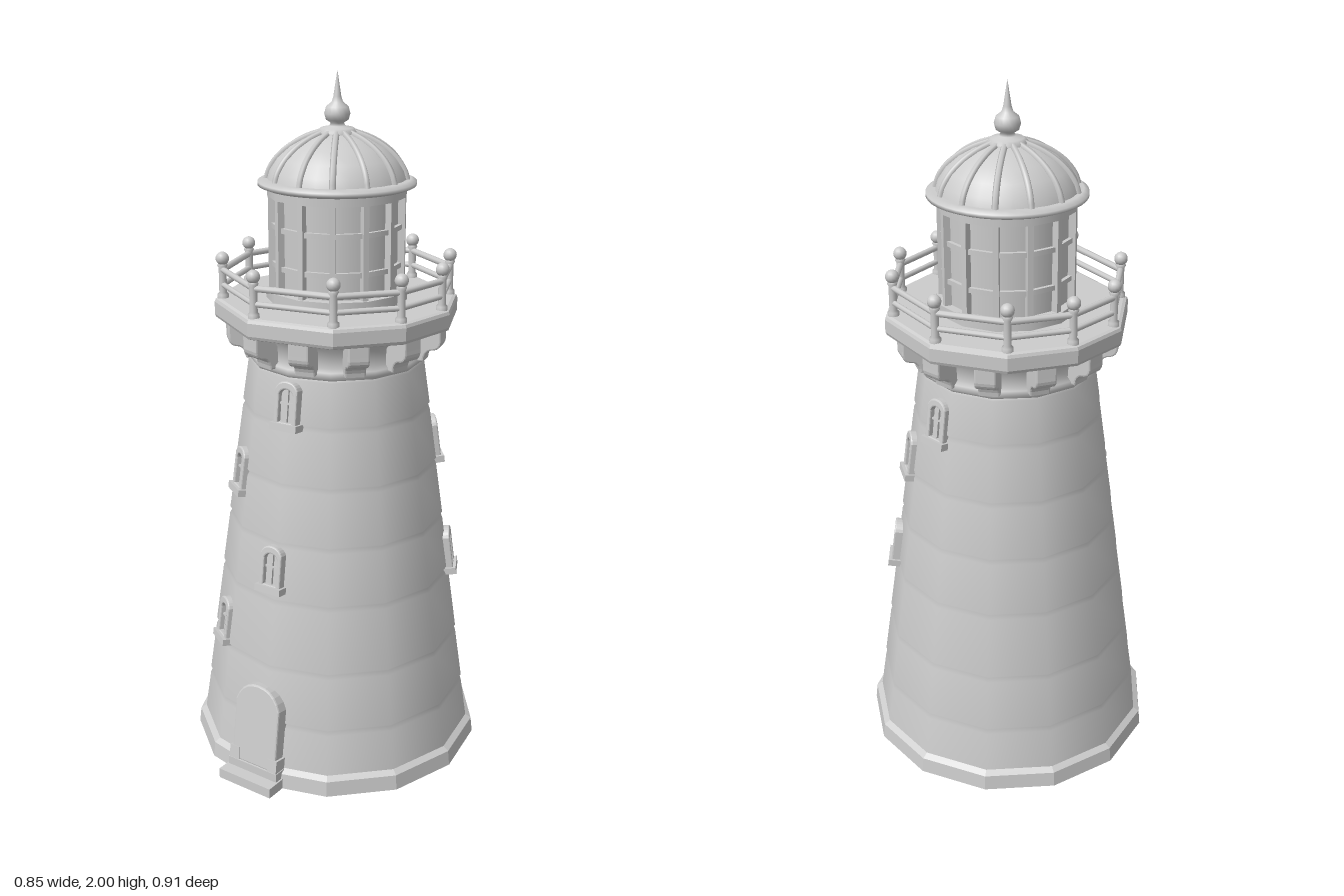
import * as THREE from 'three';

const SIDES = 13;
const RAD = Math.PI / 180;
const START = 184 * RAD;                       // direction of the first wall corner
const LEAN = Math.atan(0.155 / 1.15);          // inward slope of the wall
const wallRadius = (y) => 0.405 - 0.155 * (y - 0.06) / 1.15;

// distance from the axis to the faceted wall in a given direction
function wallDistance(azimuth, y) {
  const step = 2 * Math.PI / SIDES;
  const t = (((azimuth - START) % step) + step) % step;
  return wallRadius(y) * Math.cos(step / 2) / Math.cos(t - step / 2);
}

export function createModel() {
  const stone = new THREE.MeshStandardMaterial({ color: 0xcccccc });
  const model = new THREE.Group();
  model.name = 'lighthouse';
  const tower = new THREE.Group();
  tower.name = 'tower';
  tower.position.z = -0.025;
  model.add(tower);

  const add = (parent, name, geometry, x = 0, y = 0, z = 0) => {
    const mesh = new THREE.Mesh(geometry, stone);
    mesh.name = name;
    mesh.position.set(x, y, z);
    parent.add(mesh);
    return mesh;
  };
  const lathe = (pts, n, start = START) =>
    new THREE.LatheGeometry(pts.map(([r, y]) => new THREE.Vector2(r, y)), n, start);
  const box = (w, h, d) => new THREE.BoxGeometry(w, h, d);
  // a group turned towards an azimuth measured from the front
  const turned = (name, azimuth) => {
    const g = new THREE.Group();
    g.name = name;
    g.rotation.y = azimuth;
    tower.add(g);
    return g;
  };
  // a straight round bar between two points
  const bar = (name, a, b, r) => {
    const mesh = add(tower, name, new THREE.CylinderGeometry(r, r, a.distanceTo(b), 8));
    mesh.position.copy(a).lerp(b, 0.5);
    mesh.quaternion.setFromUnitVectors(new THREE.Vector3(0, 1, 0), b.clone().sub(a).normalize());
  };

  // faceted plinth with a sloped top
  const flat = (g) => { const f = g.toNonIndexed(); f.computeVertexNormals(); return f; };
  add(tower, 'plinth', flat(new THREE.CylinderGeometry(0.426, 0.431, 0.045, SIDES, 1, false, START)), 0, 0.0225);
  add(tower, 'plinthBevel', flat(new THREE.CylinderGeometry(0.403, 0.426, 0.015, SIDES, 1, true, START)), 0, 0.0525);

  // tapered wall with slightly stepped stone courses
  const courses = [0.05, 0.19, 0.36, 0.56, 0.73, 0.9, 1.07, 1.21];
  const wall = [];
  for (let i = 0; i < courses.length - 1; i++) {
    wall.push([wallRadius(courses[i]) + 0.003, courses[i] + 0.004]);
    wall.push([wallRadius(courses[i + 1] - 0.015) + 0.002, courses[i + 1] - 0.015]);
    wall.push([wallRadius(courses[i + 1]) - 0.003, courses[i + 1] - 0.003]);
  }
  add(tower, 'wall', lathe(wall, SIDES));
  add(tower, 'neck', lathe([[0.25, 1.2], [0.258, 1.21], [0.258, 1.225], [0.247, 1.235], [0.25, 1.28], [0.285, 1.32]], SIDES));

  // arched outline, used for frames, openings and door leaves
  const arch = (Type, half, bottom, spring, top) => {
    const s = new Type();
    s.moveTo(-half, bottom);
    s.lineTo(half, bottom);
    s.lineTo(half, spring);
    s.quadraticCurveTo(half * 0.75, top, 0, top);
    s.quadraticCurveTo(-half * 0.75, top, -half, spring);
    return s;
  };
  const extrude = (shape, depth, bevel = 0) => new THREE.ExtrudeGeometry(shape, {
    depth, curveSegments: 5, bevelEnabled: bevel > 0, bevelSize: bevel, bevelThickness: bevel, bevelOffset: -bevel, bevelSegments: 2,
  });

  // windows: azimuth in degrees and height of the centre
  const windows = [[19, 1.125], [-18, 0.89], [16, 0.653], [-17, 0.425], [145, 0.94], [132, 0.61], [175, 1.1]];
  for (const [deg, y] of windows) {
    const a = deg * RAD;
    const g = turned('window', a);
    const w = new THREE.Group();
    w.position.set(0, y, wallDistance(a, y));
    w.rotation.x = -LEAN;
    g.add(w);
    const frame = arch(THREE.Shape, 0.036, -0.058, 0.045, 0.068);
    frame.holes.push(arch(THREE.Path, 0.022, -0.048, 0.03, 0.046));
    add(w, 'windowFrame', extrude(frame, 0.034, 0.004), 0, 0, -0.016);
    add(w, 'windowPane', box(0.05, 0.1, 0.008), 0, 0, 0.002);
    add(w, 'windowMullion', box(0.006, 0.095, 0.01), 0, 0, 0.008);
    add(w, 'windowCrossbar', box(0.046, 0.006, 0.01), 0, 0.005, 0.008);
    add(w, 'windowSill', box(0.086, 0.02, 0.05), 0, -0.06, 0.005);
  }

  // door with stone surround and steps
  const doorAzimuth = 14.5 * RAD;
  const entrance = turned('entrance', doorAzimuth);
  add(entrance, 'lowerStep', box(0.185, 0.03, 0.15), 0, 0.015, 0.395);
  add(entrance, 'upperStep', box(0.175, 0.03, 0.12), 0, 0.04, 0.372);
  const door = new THREE.Group();
  door.position.set(0, 0.05, wallDistance(doorAzimuth, 0.05));
  door.rotation.x = -LEAN;
  entrance.add(door);
  const surround = arch(THREE.Shape, 0.078, 0, 0.19, 0.25);
  surround.holes.push(arch(THREE.Path, 0.05, 0.004, 0.16, 0.205));
  add(door, 'doorSurround', extrude(surround, 0.05, 0.005), 0, 0, -0.028);
  add(door, 'doorLeaf', extrude(arch(THREE.Shape, 0.054, 0, 0.16, 0.21), 0.03), 0, 0, -0.024);
  for (const x of [-0.025, 0, 0.025]) add(door, 'doorPlank', box(0.02, 0.16, 0.006), x, 0.085, 0.008);
  add(door, 'doorKnob', new THREE.SphereGeometry(0.007, 10, 8), 0.034, 0.1, 0.015);
  for (const s of [-1, 1]) add(door, 'jambFoot', box(0.034, 0.04, 0.055), s * 0.068, 0.02, 0.002);

  // corbels carrying the gallery
  const corbel = new THREE.Shape();
  corbel.moveTo(0.235, 1.215);
  corbel.lineTo(0.265, 1.215);
  corbel.quadraticCurveTo(0.268, 1.25, 0.295, 1.25);
  corbel.quadraticCurveTo(0.318, 1.255, 0.315, 1.285);
  corbel.lineTo(0.315, 1.325);
  corbel.lineTo(0.235, 1.325);
  const corbelGeometry = extrude(corbel, 0.05, 0.005);
  corbelGeometry.translate(0, 0, -0.025);
  corbelGeometry.rotateY(-Math.PI / 2);
  for (let i = 0; i < 12; i++) add(turned('corbel', i * 30 * RAD), 'corbelBlock', corbelGeometry);

  // gallery deck with a corner under each railing post
  const corners = [-95, -55, -22, 9, 42.5, 84.6, 128, 167, 197, 229].map((d) =>
    new THREE.Vector2(Math.cos(d * RAD), Math.sin(d * RAD)));
  const deckGeometry = extrude(new THREE.Shape(corners.map((c) => c.clone().multiplyScalar(0.347))), 0.036, 0.012);
  deckGeometry.rotateX(Math.PI / 2);
  add(tower, 'galleryDeck', deckGeometry, 0, 1.363);

  // railing
  const post = lathe([[0.016, 1.37], [0.016, 1.385], [0.011, 1.39], [0.011, 1.46], [0.015, 1.468], [0.01, 1.475]], 10, 0);
  corners.forEach((c, i) => {
    const n = corners[(i + 1) % corners.length];
    const p = (v, y) => new THREE.Vector3(v.x * 0.322, y, v.y * 0.322);
    add(tower, 'railingPost', post, c.x * 0.322, 0, c.y * 0.322);
    add(tower, 'railingBall', new THREE.SphereGeometry(0.019, 14, 10), c.x * 0.322, 1.487, c.y * 0.322);
    bar('upperRail', p(c, 1.455), p(n, 1.455), 0.009);
    bar('lowerRail', p(c, 1.412), p(n, 1.412), 0.008);
  });

  // lantern room, mullions and dome
  add(tower, 'lanternGlass', new THREE.CylinderGeometry(0.174, 0.174, 0.34, SIDES, 1, true, START), 0, 1.53);
  for (const [y, h, r] of [[1.385, 0.04, 0.2], [1.475, 0.014, 0.185], [1.582, 0.014, 0.185], [1.678, 0.03, 0.194]]) {
    add(tower, 'lanternBand', new THREE.CylinderGeometry(r, r, h, SIDES, 1, false, START), 0, y);
  }
  add(tower, 'eave', lathe([[0, 1.688], [0.205, 1.688], [0.22, 1.694], [0.22, 1.704], [0.205, 1.712], [0, 1.712]], 40));
  const domeProfile = [[0.196, 1.706], [0.187, 1.735], [0.165, 1.768], [0.13, 1.798], [0.09, 1.82], [0.045, 1.836], [0, 1.84]];
  add(tower, 'dome', lathe(domeProfile, SIDES * 2));
  const ribPath = new THREE.CatmullRomCurve3(domeProfile.slice(0, 6).map(([r, y]) => new THREE.Vector3(0, y, r)));
  const rib = new THREE.TubeGeometry(ribPath, 14, 0.009, 6);
  for (let i = 0; i < SIDES; i++) {
    const g = turned('lanternBay', START + i * 2 * Math.PI / SIDES);
    add(g, 'mullion', box(0.016, 0.31, 0.024), 0, 1.53, 0.18);
    add(g, 'domeRib', rib);
  }

  // finial
  add(tower, 'finial', lathe([[0.055, 1.822], [0.056, 1.838], [0.045, 1.847], [0.022, 1.852], [0.018, 1.86],
    [0.031, 1.868], [0.036, 1.885], [0.031, 1.903], [0.016, 1.915], [0.011, 1.93], [0, 2]], 20));
  return model;
}
